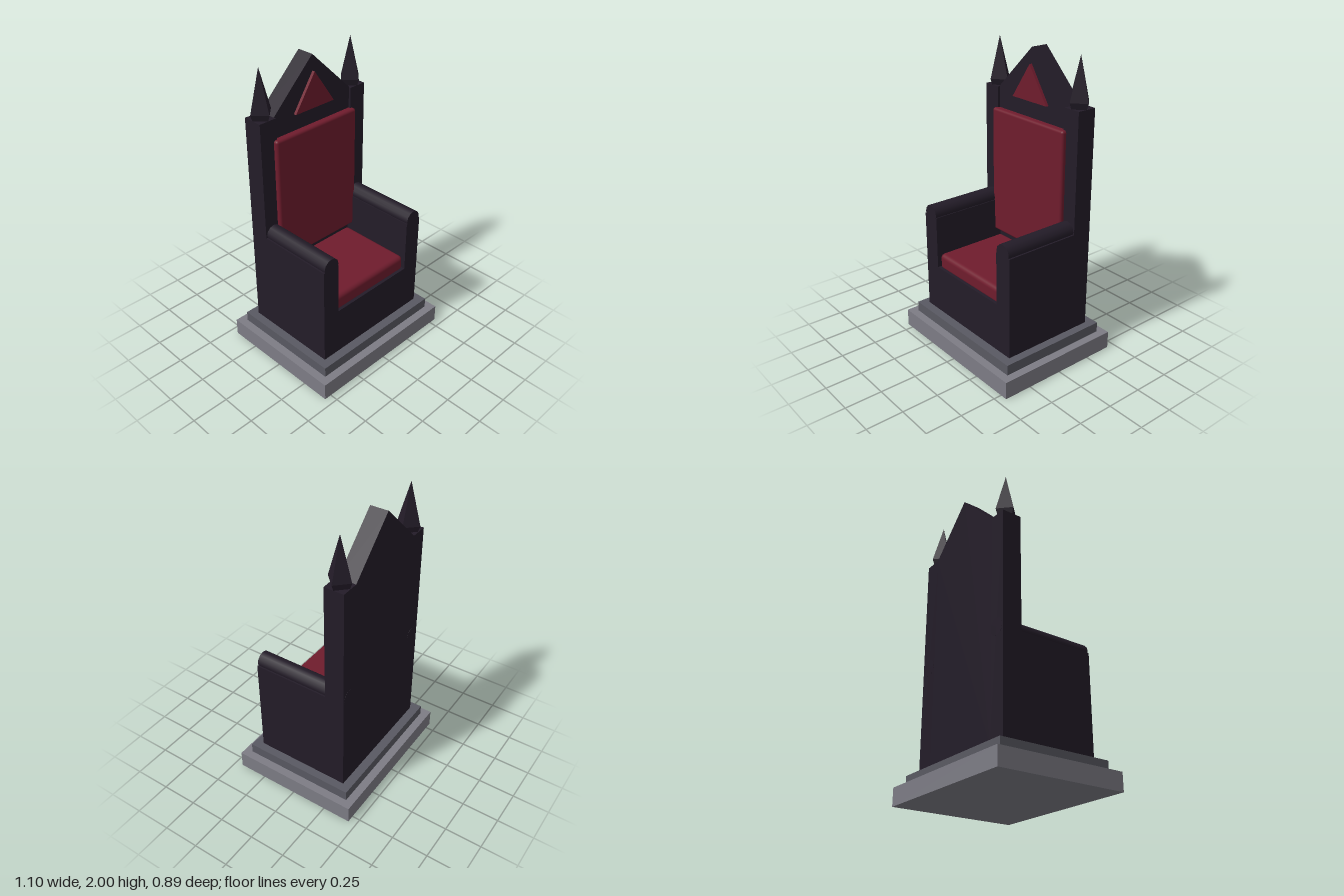
import * as THREE from 'three';
import { RoundedBoxGeometry } from 'three/addons/geometries/RoundedBoxGeometry.js';

const paint = (color) => new THREE.MeshStandardMaterial({ color });

export function createModel() {
  const root = new THREE.Group();
  const wood = paint(0x231c28);
  const velvet = paint(0x6f1c2d);
  const stone = paint(0x7d7c85);
  const darkStone = paint(0x595962);
  const facetedWood = paint(0x231c28);
  facetedWood.flatShading = true;

  function add(name, geometry, material, x = 0, y = 0, z = 0) {
    const mesh = new THREE.Mesh(geometry, material);
    mesh.name = name;
    mesh.position.set(x, y, z);
    root.add(mesh);
    return mesh;
  }

  // Box given by its extents; a radius rounds the edges
  function block(name, material, [x0, x1], [y0, y1], [z0, z1], radius = 0) {
    const size = [x1 - x0, y1 - y0, z1 - z0];
    const geometry = radius
      ? new RoundedBoxGeometry(...size, 4, radius)
      : new THREE.BoxGeometry(...size);
    return add(name, geometry, material, (x0 + x1) / 2, (y0 + y1) / 2, (z0 + z1) / 2);
  }

  // Flat outline in x and y, extruded from z0 to z1
  function slab(name, material, points, z0, z1) {
    const shape = new THREE.Shape(points.map(([x, y]) => new THREE.Vector2(x, y)));
    const geometry = new THREE.ExtrudeGeometry(shape, { depth: z1 - z0, bevelEnabled: false });
    return add(name, geometry, material, 0, 0, z0);
  }

  // Stepped stone plinth
  block('plinth', stone, [-0.55, 0.55], [0, 0.12], [-0.445, 0.445]);
  block('plinthStep', darkStone, [-0.495, 0.495], [0.12, 0.19], [-0.39, 0.39]);

  // Seat base and its cushion
  block('seatBase', wood, [-0.32, 0.32], [0.19, 0.52], [-0.22, 0.33]);
  block('seatCushion', velvet, [-0.32, 0.32], [0.5, 0.615], [-0.22, 0.31], 0.03);

  // Gabled backrest with its cushion and triangular inlay
  slab('backrest', wood,
    [[-0.32, 0.19], [0.32, 0.19], [0.32, 1.68], [0, 1.99], [-0.32, 1.68]], -0.33, -0.21);
  block('backCushion', velvet, [-0.34, 0.34], [0.66, 1.54], [-0.225, -0.165], 0.018);
  slab('gableInlay', velvet, [[-0.16, 1.65], [0.16, 1.65], [0, 1.885]], -0.215, -0.19);

  // Finial profile: short flare under a tall spire
  const finialProfile = [[0, 1.67], [0.062, 1.67], [0.08, 1.72], [0, 2]]
    .map(([r, y]) => new THREE.Vector2(r, y));

  for (const [side, s] of [['left', 1], ['right', -1]]) {
    const span = s > 0 ? [0.315, 0.44] : [-0.44, -0.315];
    block(`${side}Post`, wood, span, [0.19, 1.68], [-0.33, -0.195]);
    block(`${side}Arm`, wood, span, [0.19, 0.88], [-0.2, 0.33]);

    // Round arm rest, running through to the rear of the post
    const rest = new THREE.CylinderGeometry(0.058, 0.058, 0.661, 12).rotateX(Math.PI / 2);
    add(`${side}ArmRest`, rest, wood, s * 0.375, 0.896, -0.0005);

    add(`${side}Finial`, new THREE.LatheGeometry(finialProfile, 4), facetedWood, s * 0.375, 0, -0.26);
  }

  return root;
}
